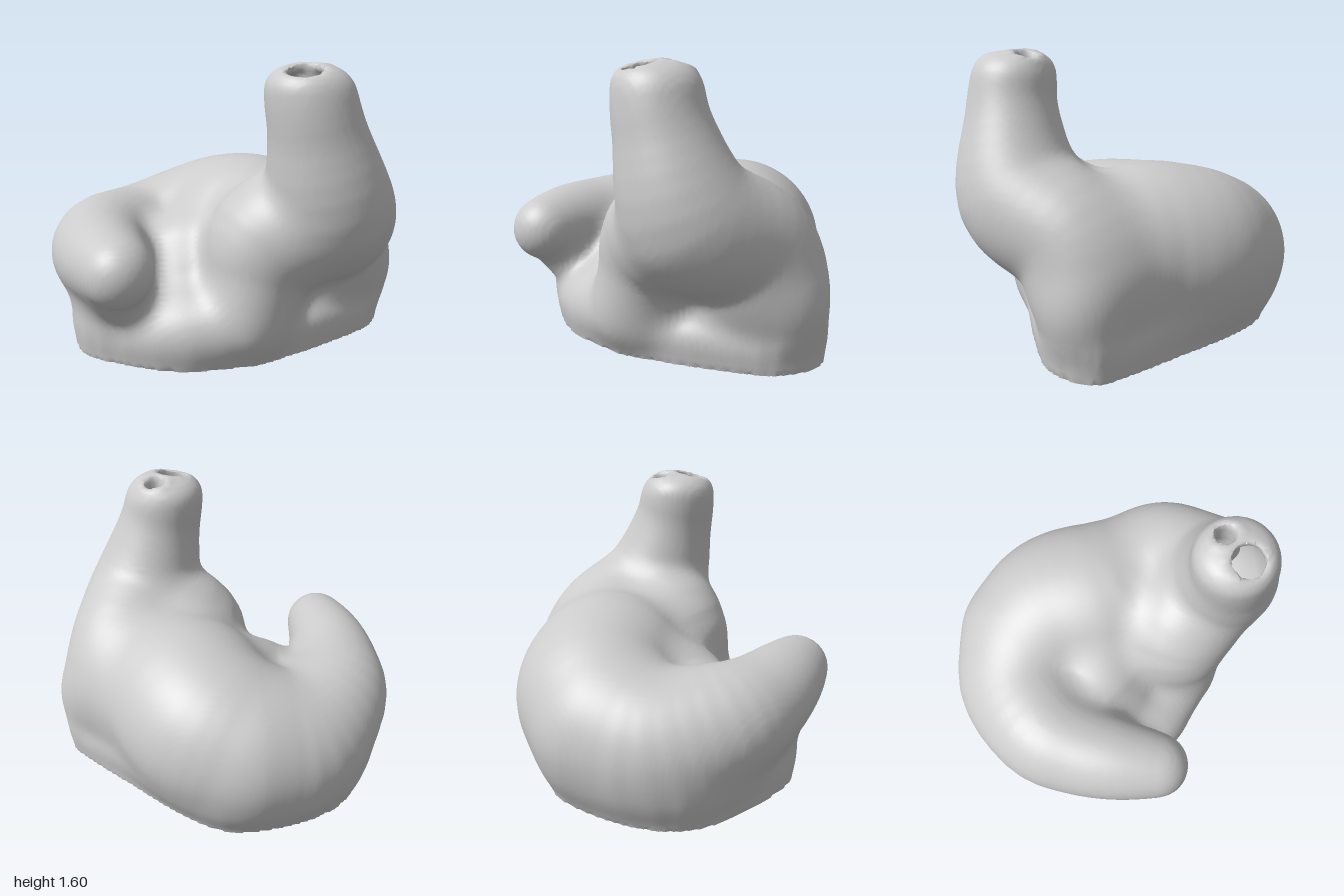
import * as THREE from 'three';
import { toCreasedNormals } from 'three/addons/utils/BufferGeometryUtils.js';

// Smooth hollow ear-mould shell, described as a blend of rounded volumes.
const WALL = 0.044;
const CELL = 0.0225;

// Runs a smooth curve through rows of [x, y, z, radius].
function smooth(rows, perSpan, closed = false) {
  const path = new THREE.CatmullRomCurve3(
    rows.map(r => new THREE.Vector3(r[0], r[1], r[2])), closed, 'catmullrom');
  const size = new THREE.CatmullRomCurve3(
    rows.map(r => new THREE.Vector3(r[3], 0, 0)), closed, 'catmullrom');
  const n = (rows.length - (closed ? 0 : 1)) * perSpan;
  return Array.from({ length: n + 1 }, (_, i) => [...path.getPoint(i / n).toArray(), size.getPoint(i / n).x]);
}

// Outline of the open base.
const BASE = smooth([
  [0.935, -0.1], [0.88, 0.15], [0.62, 0.36], [0.27, 0.56], [-0.2, 0.66], [-0.68, 0.54],
  [-0.855, 0.3], [-0.86, -0.28], [-0.62, -0.56], [-0.22, -0.71], [0.1, -0.65], [0.78, -0.26],
].map(([x, z]) => [x, 0, z, 0]), 3, true);

// Chains of spheres [x, y, z, radius] joined by tapering rods.
const BACK_HUMP = smooth([
  [-0.2, 0.38, -0.4, 0.45], [0.03, 0.445, -0.32, 0.48], [0.22, 0.475, -0.11, 0.485], [0.5, 0.46, -0.01, 0.37]], 4);
const CURLED_ARM = smooth([
  [-0.2, 0.38, -0.4, 0.45], [-0.48, 0.36, -0.29, 0.4], [-0.675, 0.455, -0.02, 0.32],
  [-0.69, 0.5, 0.22, 0.27], [-0.645, 0.54, 0.45, 0.23], [-0.565, 0.56, 0.67, 0.185]], 4);
const UNDER_ARM = [[-0.64, 0.36, 0.33, 0.2], [-0.58, 0.42, 0.54, 0.16]];
const CANAL = smooth([
  [0.395, 1.47, 0.545, 0.22], [0.445, 1.24, 0.54, 0.245], [0.54, 0.83, 0.445, 0.34],
  [0.61, 0.65, 0.13, 0.32], [0.63, 0.5, 0.05, 0.3]], 5);
const CANAL_FLANK = smooth([[0.5, 0.8, 0.44, 0.33], [0.23, 0.62, 0.39, 0.33], [0.16, 0.45, 0.46, 0.24]], 4);
const FRONT_WALL = [[-0.15, 0.16, 0.47, 0.18], [0.1, 0.23, 0.5, 0.22]];
const VALLEY = [[-0.27, 0.12, 0.4, 0.23], [-0.2, 0.42, 0.1, 0.29]];
const SIDE_BUMP = [[0.78, 0.34, 0, 0.215], [0.6, 0.4, -0.02, 0.25]];
const VENT = smooth([
  [0.44, 1.75, 0.43, 0.05], [0.45, 1.4, 0.45, 0.05], [0.61, 0.95, 0.3, 0.05],
  [0.78, 0.55, 0.04, 0.05], [0.84, 0.25, -0.02, 0.05], [0.84, -0.1, -0.04, 0.05]], 2);
const SOUND_BORE = [[0.36, 1.75, 0.63, 0.085], [0.37, 1.3, 0.6, 0.085]];

const clamp01 = t => Math.min(1, Math.max(0, t));
const smin = (a, b, k) => {
  const h = Math.max(k - Math.abs(a - b), 0) / k;
  return Math.min(a, b) - h * h * k / 4;
};
const smax = (a, b, k) => -smin(-a, -b, k);

function rods(chain, x, y, z) {
  let d = 9;
  for (let i = 0; i + 1 < chain.length; i++) {
    const a = chain[i], b = chain[i + 1];
    const ux = b[0] - a[0], uy = b[1] - a[1], uz = b[2] - a[2];
    const px = x - a[0], py = y - a[1], pz = z - a[2];
    const t = clamp01((px * ux + py * uy + pz * uz) / (ux * ux + uy * uy + uz * uz));
    const dx = px - ux * t, dy = py - uy * t, dz = pz - uz * t;
    d = smin(d, Math.sqrt(dx * dx + dy * dy + dz * dz) - a[3] - (b[3] - a[3]) * t, 0.02);
  }
  return d;
}

// Signed distance to the base outline.
function outline(x, z) {
  let d = 9, inside = false;
  for (let i = 0; i + 1 < BASE.length; i++) {
    const [ax, , az] = BASE[i], [bx, , bz] = BASE[i + 1];
    const ux = bx - ax, uz = bz - az;
    const t = clamp01(((x - ax) * ux + (z - az) * uz) / (ux * ux + uz * uz));
    const dx = x - ax - ux * t, dz = z - az - uz * t;
    d = Math.min(d, dx * dx + dz * dz);
    if ((az > z) !== (bz > z) && x < ax + ux * (z - az) / uz) inside = !inside;
  }
  return inside ? -Math.sqrt(d) : Math.sqrt(d);
}

// Outer skin of the body.
function outer(x, y, z) {
  const swell = 0.03 * THREE.MathUtils.smoothstep(y, 0, 0.2);
  let d = smax(outline(x, z) - swell, y - 0.29, 0.25);
  d = smin(d, rods(VALLEY, x, y, z), 0.18);
  d = smin(d, rods(FRONT_WALL, x, y, z), 0.15);
  d = smin(d, rods(SIDE_BUMP, x, y, z), 0.12);
  const arm = smin(rods(CURLED_ARM, x, y, z), rods(UNDER_ARM, x, y, z), 0.06);
  d = smin(d, smin(rods(BACK_HUMP, x, y, z), arm, 0.03), 0.14);
  const canal = smin(rods(CANAL, x, y, z), rods(CANAL_FLANK, x, y, z), 0.05);
  d = smin(d, canal, 0.14);
  return smax(d, y - 1.6, 0.14);
}

// Hollow wall, vent pipe, bores and the flat open base.
function shell(x, y, z) {
  const skin = outer(x, y, z);
  if (skin > 0.15) return skin;
  const vent = rods(VENT, x, y, z);
  let d = smax(skin, -(skin + WALL), 0.01);
  d = smin(d, Math.max(skin, vent - 0.04), 0.02);
  // The vent stays below the skin except at the canal tip.
  const bore = y > 1.48 ? vent : Math.max(vent, skin + 0.04);
  d = smax(d, -bore, 0.025);
  d = smax(d, -rods(SOUND_BORE, x, y, z), 0.025);
  return Math.max(d, -y);
}

// Skins the zero level of a field with quads (one vertex per crossed cell).
function skinField(field, min, size, h) {
  const [nx, ny, nz] = size;
  const step = [1, nx, nx * ny];
  const values = new Float32Array(nx * ny * nz);
  for (let k = 0, n = 0; k < nz; k++)
    for (let j = 0; j < ny; j++)
      for (let i = 0; i < nx; i++, n++)
        values[n] = field(min[0] + i * h, min[1] + j * h, min[2] + k * h);

  const cell = new Int32Array(values.length).fill(-1);
  const position = [], index = [];
  for (let k = 0; k < nz - 1; k++)
    for (let j = 0; j < ny - 1; j++)
      for (let i = 0; i < nx - 1; i++) {
        const n = i + j * nx + k * nx * ny;
        const sum = [0, 0, 0];
        let count = 0;
        for (let c = 0; c < 8; c++)
          for (let a = 0; a < 3; a++) {
            if (c >> a & 1) continue;
            const o = [c & 1, c >> 1 & 1, c >> 2 & 1];
            const m = n + o[0] + o[1] * step[1] + o[2] * step[2];
            const v = values[m], w = values[m + step[a]];
            if ((v < 0) === (w < 0)) continue;
            o[a] = v / (v - w);
            for (let q = 0; q < 3; q++) sum[q] += o[q];
            count++;
          }
        if (!count) continue;
        cell[n] = position.length / 3;
        [i, j, k].forEach((g, q) => position.push(min[q] + (g + sum[q] / count) * h));
      }

  for (let k = 1; k < nz - 1; k++)
    for (let j = 1; j < ny - 1; j++)
      for (let i = 1; i < nx - 1; i++) {
        const n = i + j * nx + k * nx * ny;
        for (let a = 0; a < 3; a++) {
          const inside = values[n] < 0;
          if (inside === (values[n + step[a]] < 0)) continue;
          const b = step[(a + 1) % 3], c = step[(a + 2) % 3];
          const q = [cell[n], cell[n - b], cell[n - b - c], cell[n - c]];
          if (!inside) q.reverse();
          index.push(q[0], q[1], q[2], q[0], q[2], q[3]);
        }
      }
  const geometry = new THREE.BufferGeometry();
  geometry.setAttribute('position', new THREE.Float32BufferAttribute(position, 3));
  geometry.setIndex(index);
  return geometry;
}

export function createModel() {
  const group = new THREE.Group();
  group.name = 'earMould';
  const geometry = skinField(shell, [-1.07, -2.5 * CELL, -0.94], [97, 77, 84], CELL);
  // Lay the lowest row of vertices flat to form a clean rim.
  const p = geometry.attributes.position;
  for (let i = 0; i < p.count; i++) if (p.getY(i) < CELL / 2) p.setY(i, 0);
  const body = new THREE.Mesh(
    toCreasedNormals(geometry, 0.9),
    new THREE.MeshStandardMaterial({ color: 0xcccccc, side: THREE.DoubleSide }));
  body.name = 'hollowShell';
  group.add(body);
  return group;
}
